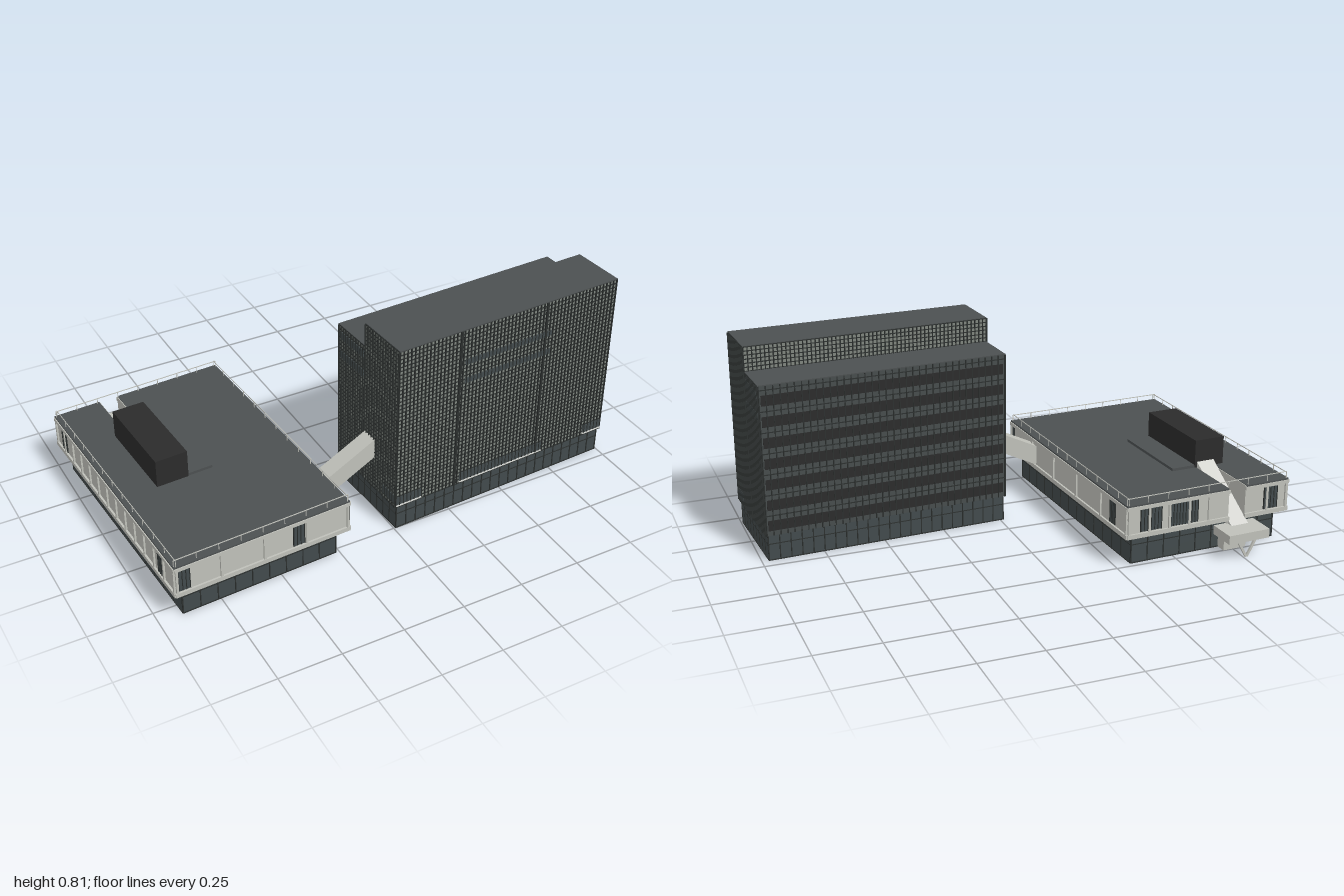
import * as THREE from 'three';
import { mergeGeometries } from 'three/addons/utils/BufferGeometryUtils.js';

const mat = (name, color, side = THREE.FrontSide) => {
  const m = new THREE.MeshStandardMaterial({ color, side });
  m.name = name;
  return m;
};

export function createModel() {
  const concrete = mat('lightConcrete', 0xbfc0b9);
  const pale = mat('paleTrim', 0xd2d3ce);
  const roofGrey = mat('roofGrey', 0x4c5051);
  const glass = mat('darkGlass', 0x424a4c);
  const panel = mat('facadePanel', 0x7f857e);
  const line = mat('mullion', 0x2c302f);
  const black = mat('plantBlack', 0x2b2b2b);
  const spandrel = mat('backSpandrel', 0x464c4c);

  const add = (parent, name, geo, material) => {
    const m = new THREE.Mesh(geo, material);
    m.name = name;
    parent.add(m);
    return m;
  };
  const group = (parent, name, x, y, z, ry = 0) => {
    const g = new THREE.Group();
    g.name = name;
    g.position.set(x, y, z);
    g.rotation.y = ry;
    parent.add(g);
    return g;
  };
  const boxGeo = (x0, x1, y0, y1, z0, z1) => new THREE.BoxGeometry(x1 - x0, y1 - y0, z1 - z0)
    .translate((x0 + x1) / 2, (y0 + y1) / 2, (z0 + z1) / 2);
  const box = (parent, name, material, ...b) => add(parent, name, boxGeo(...b), material);
  // flat plates on a facade whose outer plane is z = 0: [x0, x1, y0, y1]
  const plates = (parent, name, material, list, t) => list.length &&
    add(parent, name, mergeGeometries(list.map(([a, b, c, d]) => boxGeo(a, b, c, d, -0.002, t))), material);
  // evenly spaced bars across a facade
  const bars = (w, y0, y1, nx, ny, t) => ({
    v: Array.from({ length: nx + 1 }, (_, i) => {
      const x = -w / 2 + (w * i) / nx;
      return [x - t / 2, x + t / 2, y0, y1];
    }),
    h: Array.from({ length: ny + 1 }, (_, i) => {
      const y = y0 + ((y1 - y0) * i) / ny;
      return [-w / 2, w / 2, y - t / 2, y + t / 2];
    }),
  });
  const extrude = (pts, depth) => new THREE.ExtrudeGeometry(
    new THREE.Shape(pts.map(p => new THREE.Vector2(...p))), { depth, bevelEnabled: false });
  // prism from a side profile of (z, y) points, w wide in x
  const prism = (parent, name, material, pts, x, w) =>
    add(parent, name, extrude(pts, w).rotateY(-Math.PI / 2).translate(x + w / 2, 0, 0), material);
  // four facades around a plan: [name, x, z, turn, width]
  const sides = (w, d) => [
    ['front', 0, d / 2, 0, w], ['left', w / 2, 0, Math.PI / 2, d],
    ['back', 0, -d / 2, Math.PI, w], ['right', -w / 2, 0, -Math.PI / 2, d]];

  // glazed ground floor, open underneath
  const skirt = (parent, w, d, h, pitch) => {
    for (const [name, x, z, ry, len] of sides(w, d)) {
      const g = group(parent, name + 'GroundFloor', x, 0, z, ry);
      box(g, 'glazing', glass, -len / 2, len / 2, 0, h, -0.01, 0);
      const b = bars(len, 0, h, Math.round(len / pitch), 1, 0.004);
      plates(g, 'mullions', line, b.v, 0.003);
      plates(g, 'rails', line, [[-len / 2, len / 2, h * 0.62, h * 0.62 + 0.003], [-len / 2, len / 2, 0, 0.004]], 0.003);
    }
  };

  const model = new THREE.Group();
  model.name = 'buildingComplex';
  const turn = 0.052;

  // ---------- tower ----------
  const tower = group(model, 'tower', 0.49, 0, 0.273, turn);
  skirt(tower, 0.984, 0.402, 0.108, 0.045);
  box(tower, 'highBlock', panel, -0.5, 0.5, 0.105, 0.808, -0.017, 0.205);
  box(tower, 'lowBlock', panel, -0.498, 0.498, 0.105, 0.708, -0.205, -0.017);
  box(tower, 'highRoof', roofGrey, -0.501, 0.501, 0.808, 0.812, -0.018, 0.209);
  box(tower, 'lowRoof', roofGrey, -0.5, 0.5, 0.708, 0.712, -0.209, -0.017);

  // fine curtain wall grid with optional window strips
  const gridWall = (name, x, z, ry, w, y0, y1, windows = []) => {
    const g = group(tower, name, x, 0, z, ry);
    const b = bars(w, y0, y1, Math.round(w / 0.0167), Math.round((y1 - y0) / 0.0167), 0.0036);
    plates(g, 'horizontalMullions', line, b.h, 0.003);
    plates(g, 'verticalMullions', line, b.v, 0.006);
    plates(g, 'windowStrips', glass, windows, 0.0045);
    return g;
  };
  const front = gridWall('frontCurtainWall', 0, 0.205, 0, 1, 0.105, 0.808, [
    [-0.205, 0.195, 0.655, 0.678], [-0.205, 0.195, 0.573, 0.596],
    [-0.205, 0.195, 0.116, 0.152], [-0.5, -0.385, 0.116, 0.152], [0.41, 0.5, 0.116, 0.152]]);
  plates(front, 'verticalJoints', line, [-0.23, 0.165].map(x => [x - 0.004, x + 0.004, 0.105, 0.808]), 0.008);
  plates(front, 'windowSills', pale,
    [[-0.205, 0.195, 0.111, 0.115], [-0.5, -0.385, 0.111, 0.115], [0.41, 0.5, 0.111, 0.115]], 0.008);
  for (const s of [1, -1]) {
    const side = s > 0 ? 'left' : 'right';
    gridWall(side + 'HighCurtainWall', s * 0.5, 0.094, s * Math.PI / 2, 0.222, 0.105, 0.808,
      [s > 0 ? [-0.111, -0.02, 0.125, 0.16] : [0.02, 0.111, 0.125, 0.16]]);
    gridWall(side + 'LowCurtainWall', s * 0.498, -0.111, s * Math.PI / 2, 0.188, 0.105, 0.708,
      [[-0.085, 0.08, 0.655, 0.685], [-0.085, 0.08, 0.57, 0.6]]);
  }
  gridWall('upperBackCurtainWall', 0, -0.017, Math.PI, 1, 0.712, 0.808);

  // back of tower: dark floor bands
  const back = group(tower, 'backFacade', 0, 0, -0.205, Math.PI);
  plates(back, 'spandrels', spandrel, [[-0.498, 0.498, 0.105, 0.708]], 0.002);
  const floors = Array.from({ length: 7 }, (_, i) => 0.125 + i * 0.084);
  plates(back, 'windowBands', black, floors.map(y => [-0.49, 0.49, y, y + 0.042]), 0.004);
  plates(back, 'floorLines', line, floors.map(y => [-0.498, 0.498, y + 0.06, y + 0.064]), 0.004);
  plates(back, 'backMullions', line, bars(0.994, 0.105, 0.708, 36, 1, 0.004).v, 0.006);

  // ---------- low hall ----------
  const hall = group(model, 'lowHall', -0.61, 0, 0.037, turn);
  const W = 0.727, L = 1.078, hw = W / 2 - 0.008, hl = L / 2 - 0.008;
  const rx = -0.127, rw = 0.04; // stair slot centre and half width
  skirt(hall, 0.638, 0.995, 0.122, 0.075);
  const y0 = 0.12, y1 = 0.25, t = 0.042;
  box(hall, 'frontWall', concrete, -hw, hw, y0, y1, hl - t, hl);
  box(hall, 'leftWall', concrete, hw - t, hw, y0, y1, -hl, hl);
  box(hall, 'rightWall', concrete, -hw, -hw + t, y0, y1, -hl, hl);
  box(hall, 'backWallLeft', concrete, rx + rw, hw, y0, y1, -hl, -hl + t);
  box(hall, 'backWallRight', concrete, -hw, rx - rw, y0, y1, -hl, -hl + t);
  const e = W / 2 - 0.004, f = L / 2 - 0.004;
  add(hall, 'hallRoof', extrude([[-e, -f], [rx - rw, -f], [rx - rw, -0.29], [rx + rw, -0.29],
    [rx + rw, -f], [e, -f], [e, f], [-e, f]], 0.01).rotateX(Math.PI / 2).translate(0, 0.256, 0), roofGrey);

  // edge bands, piers and windows of the upper storey
  const windows = {
    front: [[-0.345, -0.3], [0.12, 0.165]],
    left: [[-0.53, -0.5], [0.395, 0.435]],
    back: [[-0.3, -0.21], [-0.17, -0.05], [0.25, 0.31]],
    right: [[-0.47, -0.43], [0.4, 0.44]],
  };
  const piers = { front: 4, left: 5, back: 8, right: 13 };
  for (const [name, x, z, ry, len] of sides(2 * hw, 2 * hl)) {
    const g = group(hall, name + 'UpperStorey', x, 0, z, ry);
    const spans = name === 'back' ? [[-len / 2, -rx - rw], [-rx + rw, len / 2]] : [[-len / 2, len / 2]];
    plates(g, 'edgeBands', concrete, spans.flatMap(([a, b]) =>
      [[a - 0.004, b + 0.004, 0.12, 0.138], [a - 0.004, b + 0.004, 0.236, 0.25]]), 0.008);
    plates(g, 'piers', concrete, bars(len - 0.01, 0.138, 0.236, piers[name], 1, 0.009).v
      .filter(p => name !== 'back' || Math.abs((p[0] + p[1]) / 2 + rx) > rw + 0.01), 0.007);
    plates(g, 'windows', glass, windows[name].map(([a, b]) => [a, b, 0.142, 0.232]), 0.003);
    plates(g, 'windowBars', line, windows[name].flatMap(([a, b]) => {
      const n = Math.round((b - a) / 0.014);
      return Array.from({ length: n + 1 }, (_, i) => a + ((b - a) * i) / n).map(u => [u - 0.0015, u + 0.0015, 0.142, 0.232]);
    }), 0.005);
    // roof railing
    const n = Math.round(len / 0.09), r = 0.0012;
    const rail = [boxGeo(-len / 2, len / 2, 0.28, 0.283, -0.006 - r, -0.006 + r)];
    for (let i = 0; i <= n; i++) {
      const u = -len / 2 + (len * i) / n;
      rail.push(boxGeo(u - r, u + r, 0.25, 0.281, -0.006 - r, -0.006 + r));
    }
    add(g, 'railing', mergeGeometries(rail), concrete);
  }

  // rooftop plant room and its pad
  box(hall, 'plantRoom', black, -0.209, -0.079, 0.246, 0.371, -0.288, 0.092);
  box(hall, 'plantPad', roofGrey, -0.208, 0.022, 0.25, 0.267, -0.286, 0.09);

  // back stair cut into the roof, with landing and V-shaped support
  prism(hall, 'stairRamp', pale, [[-0.28, 0.285], [-0.28, 0.24], [-0.56, 0.075], [-0.56, 0.108]], rx, 0.076);
  for (const s of [-1, 1])
    prism(hall, 'stairCheek', concrete, [[-0.29, 0.254], [-0.29, 0.245], [-0.531, 0.1], [-0.531, 0.254]], rx + s * rw, 0.006);
  box(hall, 'landing', concrete, -0.21, -0.03, 0.072, 0.108, -0.642, -0.525);
  box(hall, 'landingWall', concrete, -0.17, -0.07, 0, 0.075, -0.542, -0.495);
  for (const s of [-1, 1]) {
    const leg = add(hall, 'landingLeg', new THREE.BoxGeometry(0.009, 0.082, 0.009), concrete);
    leg.position.set(-0.12 + s * 0.021, 0.038, -0.625);
    leg.rotation.z = -s * 0.5;
  }

  // ---------- sloping bridge ----------
  const bridge = group(model, 'bridge', -0.122, 0, 0.327, turn);
  add(bridge, 'bridgeTube', extrude([[-0.118, 0.137], [0.112, 0.25], [0.112, 0.333], [-0.118, 0.22]], 0.07)
    .translate(0, 0, -0.035), concrete);

  return model;
}
